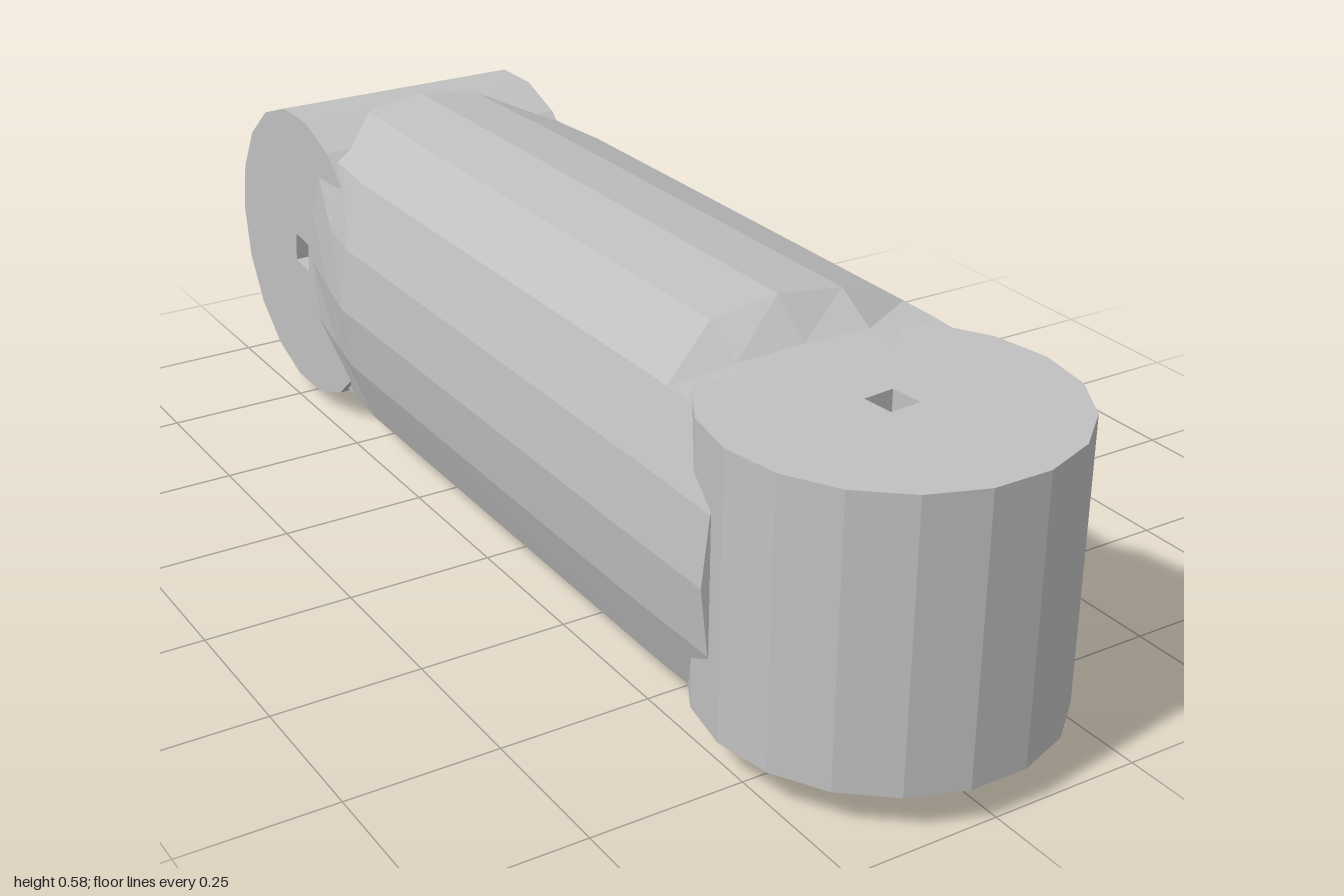
import * as THREE from 'three';

const MID = 0.293; // height of the centre line

// Faceted disc with a small four-sided bore, extruded along z and centred
function barrelGeometry(radius, sides, length) {
  const ring = (r, n, turn) => Array.from({ length: n }, (_, i) => {
    const a = turn + (i / n) * Math.PI * 2;
    return new THREE.Vector2(Math.cos(a) * r, Math.sin(a) * r);
  });
  const shape = new THREE.Shape(ring(radius, sides, 0));
  shape.holes.push(new THREE.Path(ring(0.038, 4, Math.PI / 4 + 0.1).reverse()));
  const geo = new THREE.ExtrudeGeometry(shape, { depth: length, bevelEnabled: false });
  return geo.translate(0, 0, -length / 2);
}

// Cross-section: four bulged sides meeting at crisp corners
function section([z, cx, cy, right, top, left, bottom]) {
  const pts = [];
  for (let side = 0; side < 4; side++) {
    for (let k = 0; k < 4; k++) {
      const t = -1 + k / 2;
      const b = 1 - t * t;
      if (side === 0) pts.push([cx + (right - cx) * b, cy * t, z]);
      if (side === 1) pts.push([-cx * t, cy + (top - cy) * b, z]);
      if (side === 2) pts.push([-cx - (left - cx) * b, -cy * t, z]);
      if (side === 3) pts.push([cx * t, -cy - (bottom - cy) * b, z]);
    }
  }
  return pts;
}

// Skin over the sections, with capped ends
function beamGeometry(rows) {
  const loops = rows.map(section);
  const n = loops[0].length;
  const pos = [];
  const tri = (a, b, c) => pos.push(...a, ...b, ...c);
  for (let s = 0; s < loops.length - 1; s++) {
    for (let i = 0; i < n; i++) {
      const j = (i + 1) % n;
      tri(loops[s][i], loops[s + 1][i], loops[s][j]);
      tri(loops[s][j], loops[s + 1][i], loops[s + 1][j]);
    }
  }
  const first = loops[0], last = loops[loops.length - 1];
  for (let i = 0; i < n; i++) {
    const j = (i + 1) % n;
    tri([0, 0, first[0][2]], first[i], first[j]);
    tri([0, 0, last[0][2]], last[j], last[i]);
  }
  const geo = new THREE.BufferGeometry();
  geo.setAttribute('position', new THREE.Float32BufferAttribute(pos, 3));
  geo.computeVertexNormals();
  return geo;
}

export function createModel() {
  const model = new THREE.Group();
  const grey = new THREE.MeshStandardMaterial({ color: 0xc0c0c0, flatShading: true });
  grey.name = 'light grey';

  const add = (name, geo, x, y, z) => {
    const mesh = new THREE.Mesh(geo, grey);
    mesh.name = name;
    mesh.position.set(x, y, z);
    model.add(mesh);
  };

  // Upright front barrel, a flat facet facing forward
  const front = barrelGeometry(0.278, 18, 0.46).rotateX(-Math.PI / 2);
  add('frontBarrel', front, 0, MID, 0.726);

  // Crosswise rear barrel
  const rear = barrelGeometry(0.27, 18, 0.46).rotateY(Math.PI / 2);
  add('rearBarrel', rear, -0.006, MID + 0.002, -0.73);

  // Beam: top and bottom fade into the front barrel, sides into the rear one
  // z, corner x, corner y, then bulge to +x, +y, -x, -y
  const beam = beamGeometry([
    [0.69, 0.235, 0.222, 0.286, 0.224, 0.286, 0.23],
    [0.52, 0.235, 0.227, 0.287, 0.236, 0.287, 0.27],
    [0.45, 0.235, 0.227, 0.287, 0.29, 0.288, 0.292],
    [-0.45, 0.235, 0.222, 0.287, 0.284, 0.288, 0.284],
    [-0.55, 0.225, 0.222, 0.228, 0.283, 0.267, 0.283],
    [-0.69, 0.223, 0.22, 0.224, 0.282, 0.235, 0.281],
  ]);
  add('beam', beam, 0, MID, 0);

  return model;
}
